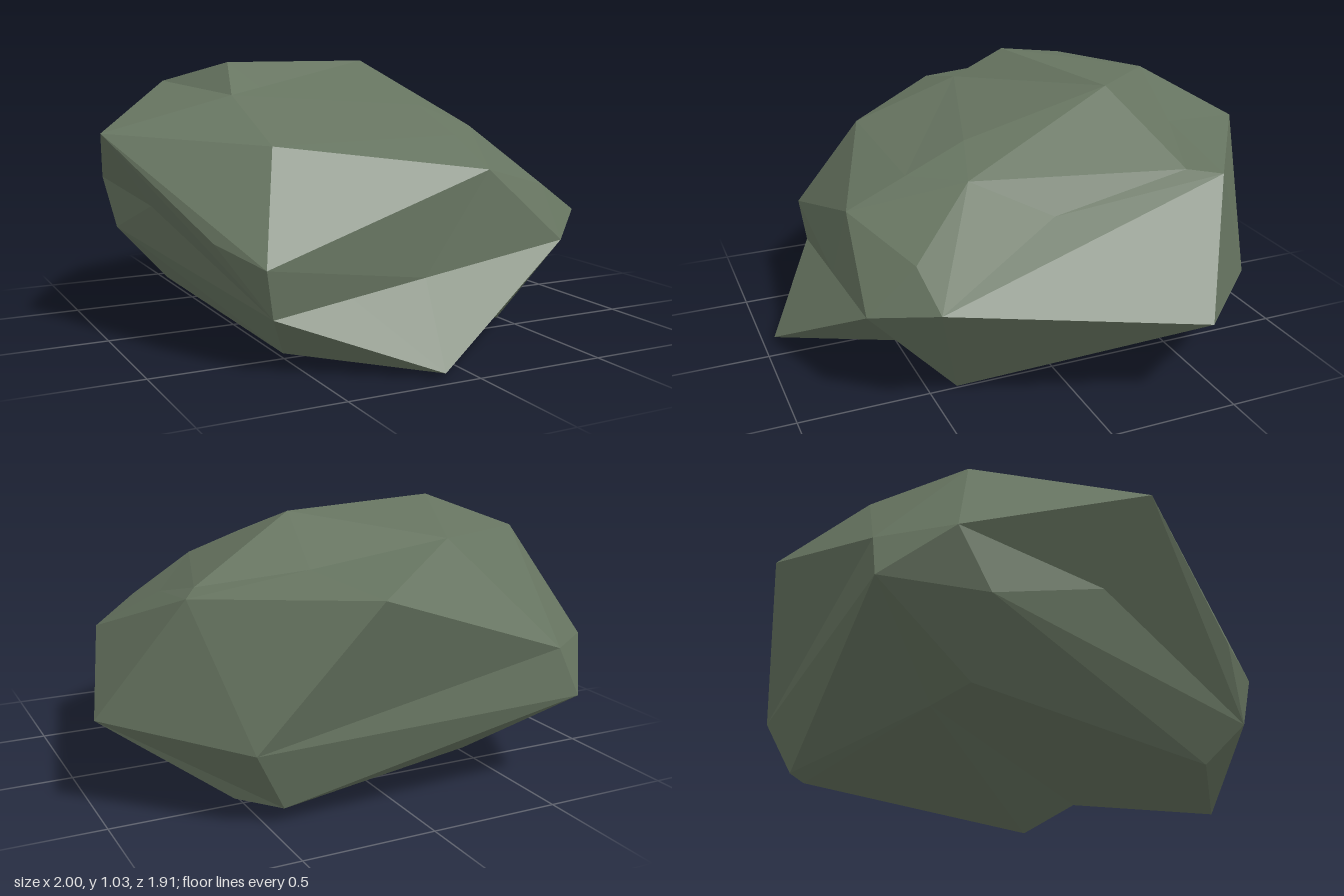
import * as THREE from 'three';
import { ConvexGeometry } from 'three/addons/geometries/ConvexGeometry.js';

const v = (x, y, z) => new THREE.Vector3(x, y, z);

// Named corners that the hollows and creases refer to
const crownLeft = v(0.24, 1.025, -0.33);
const crownRight = v(-0.44, 1.03, -0.18);
const crownBack = v(-0.6, 0.945, -0.53);
const topLeft = v(0.2, 0.865, 0.24);
const topSide = v(0.4, 0.78, 0.3);
const topFront = v(0.22, 0.765, 0.48);
const shoulder = v(-0.52, 0.755, 0.46);
const brow = v(0.22, 0.66, 0.71);
const browLeft = v(0.57, 0.565, 0.56);
const rightTip = v(-1, 0.78, -0.02);
const rightCheek = v(-0.76, 0.44, 0.51);
const rightBack = v(-0.83, 0.53, -0.69);
const rightLow = v(-0.81, 0.33, -0.55);
const frontRight = v(-0.65, 0.375, 0.71);
const frontLeft = v(0.53, 0.38, 0.735);
const lowRight = v(-0.62, 0.2, 0.69);
const toe = v(-0.11, 0.02, 0.955);
const heel = v(0.49, 0, 0.39);
const baseRight = v(-0.53, 0.04, 0.56);
const baseBack = v(-0.41, 0.08, -0.555);
const baseLeft = v(0.44, 0.06, -0.73);
const backTip = v(0.18, 0.815, -0.955);
const backUpper = v(-0.59, 0.545, -0.88);
const backLower = v(-0.67, 0.36, -0.9);
const backLeft = v(0.57, 0.295, -0.8);
const leftRidge = v(0.72, 0.795, -0.57);

const corners = [
  crownLeft, crownRight, crownBack, topLeft, topSide, topFront, shoulder, brow, browLeft,
  rightTip, rightCheek, rightBack, rightLow, frontRight, frontLeft, lowRight, toe, heel,
  baseRight, baseBack, baseLeft, backTip, backUpper, backLower, backLeft, leftRidge,
  v(-0.19, 0.955, -0.73), v(1, 0.355, -0.385), v(0.745, 0.45, 0.53), v(-0.61, 0.1, -0.51),
];

// Hollow points, which lie inside the hull
const topDip = v(-0.5, 0.91, 0.02);
const ridgeDip = v(0.65, 0.805, -0.455);
const underDip = v(0.22, 0.07, 0.47);
const middle = (a, b) => a.clone().lerp(b, 0.5);
const frontFold = middle(lowRight, frontLeft);
const topFold = middle(topDip, topLeft);

// Each entry pulls the edge between two corners in to a point; a midpoint of
// the two opposite corners turns the edge into a valley
const hollows = [
  // top
  [crownLeft, backTip, v(0.28, 0.86, -0.6)],
  [crownLeft, leftRidge, ridgeDip],
  [leftRidge, topSide, middle(ridgeDip, browLeft)],
  [crownRight, shoulder, topDip],
  [crownRight, topFront, topFold],
  [crownRight, topLeft, middle(topDip, crownLeft)],
  [crownRight, topFold, topDip.clone().lerp(crownLeft, 0.2)],
  [rightTip, crownRight, middle(crownBack, topDip)],
  // right and back
  [rightTip, rightLow, middle(rightBack, rightCheek)],
  [rightTip, backUpper, middle(crownBack, rightBack)],
  [backTip, backLower, middle(backUpper, backLeft)],
  // underside
  [toe, heel, underDip],
  [baseRight, heel, middle(underDip, baseBack)],
  [heel, baseLeft, v(0.58, 0.08, -0.62)],
  // front
  [brow, toe, frontFold],
  [frontRight, toe, middle(lowRight, frontFold)],
];

function hullTriangles(points) {
  const p = new ConvexGeometry(points).getAttribute('position');
  const triangles = [];
  for (let i = 0; i < p.count; i += 3) {
    triangles.push([0, 1, 2].map((k) => v().fromBufferAttribute(p, i + k)));
  }
  return triangles;
}

function splitEdge(triangles, a, b, point) {
  const find = (t, q) => t.findIndex((c) => c.distanceTo(q) < 1e-4);
  return triangles.flatMap((t) => {
    const i = find(t, a), j = find(t, b);
    if (i < 0 || j < 0) return [t];
    return [i, j].map((n) => t.map((c, k) => (k === n ? point : c)));
  });
}

export function createModel() {
  const stone = new THREE.MeshStandardMaterial({ color: 0x667460 });
  stone.name = 'mossy grey stone';
  stone.flatShading = true;

  let triangles = hullTriangles(corners);
  for (const [a, b, point] of hollows) triangles = splitEdge(triangles, a, b, point);

  const geometry = new THREE.BufferGeometry().setFromPoints(triangles.flat());
  geometry.computeVertexNormals();

  const boulder = new THREE.Mesh(geometry, stone);
  boulder.name = 'boulder';
  const group = new THREE.Group();
  group.name = 'rock';
  group.add(boulder);
  return group;
}
